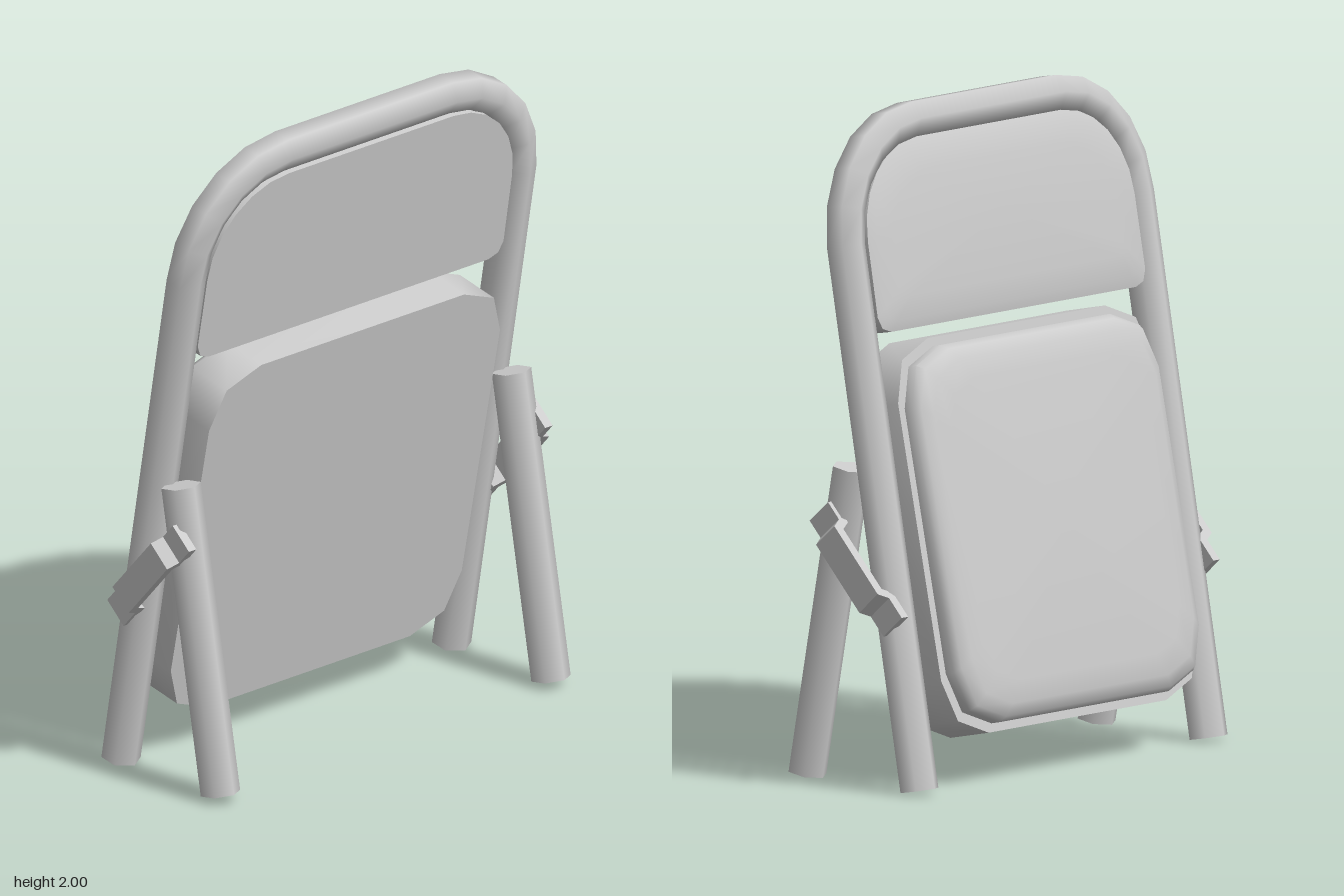
import * as THREE from 'three';
import { toCreasedNormals } from 'three/addons/utils/BufferGeometryUtils.js';

const grey = new THREE.MeshStandardMaterial({ color: 0xcccccc, side: THREE.DoubleSide });
grey.name = 'grey';

// Skin a list of equal-sized rings, optionally closing both ends with fans
function loft(rings, crease, capped) {
  const n = rings[0].length, pos = [], idx = [];
  rings.forEach(r => r.forEach(p => pos.push(...p)));
  for (let i = 0; i < rings.length - 1; i++) for (let j = 0; j < n; j++) {
    const a = i * n + j, b = i * n + (j + 1) % n;
    idx.push(a, a + n, b, b, a + n, b + n);
  }
  if (capped) [0, rings.length - 1].forEach((r, end) => {
    const c = pos.length / 3;
    pos.push(...[0, 1, 2].map(k => rings[r].reduce((s, p) => s + p[k], 0) / n));
    for (let j = 0; j < n; j++) {
      const a = r * n + j, b = r * n + (j + 1) % n;
      if (end) idx.push(c, b, a); else idx.push(c, a, b);
    }
  });
  const g = new THREE.BufferGeometry();
  g.setAttribute('position', new THREE.Float32BufferAttribute(pos, 3));
  g.setIndex(idx);
  return toCreasedNormals(g, crease);
}

// Pad from an outline and [inset, z] layers, listed front to back
function pad(outline, cy, hw, hh, layers) {
  return loft(layers.map(([inset, z]) => outline.map(([x, y]) =>
    [x * (1 - inset / hw), cy + (y - cy) * (1 - inset / hh), z])), 0.9, true);
}

// Complete a right-hand outline (bottom to top) with its mirror image
const mirrored = half => [...half, ...half.slice().reverse().map(([x, y]) => [-x, y])];

// Points on a quarter circle, from the right to the top
function quarter(cx, cy, r, steps) {
  return Array.from({ length: steps + 1 }, (_, i) => {
    const a = Math.PI / 2 * i / steps;
    return [cx + r * Math.cos(a), cy + r * Math.sin(a)];
  });
}

function add(parent, name, geometry) {
  const m = new THREE.Mesh(geometry, grey);
  m.name = name;
  parent.add(m);
  return m;
}

export function createModel() {
  const model = new THREE.Group();
  model.name = 'foldedChair';
  const R = 0.06, legX = 0.668;

  // Leaning back frame: one bent six-sided tube, open at the feet, its top eased backwards
  const back = new THREE.Group();
  back.name = 'backFrame';
  back.position.set(0, 0.0104, -0.195);
  back.rotation.x = THREE.MathUtils.degToRad(10);
  model.add(back);
  const half = [[legX, 0, 1, 0],
    ...quarter(0, 0, 1, 5).map(([c, s]) => [0.333 + 0.335 * c, 1.625 + 0.335 * s, c, s])];
  const path = [...half, ...half.slice().reverse().map(([x, y, nx, ny]) => [-x, y, -nx, ny])];
  const rings = path.map(([x, y, nx, ny]) => Array.from({ length: 6 }, (_, j) => {
    const t = Math.PI / 6 + j * Math.PI / 3, o = R * Math.cos(t);
    return [x + nx * o, y + ny * o, R * Math.sin(t) - 0.013 * ny];
  }));
  add(back, 'frameTube', loft(rings, 1.1, false));

  // Backrest filling the top of the frame, padded on its rear
  const restOutline = mirrored([[0.565, 1.352], [0.602, 1.365], [0.618, 1.4],
    ...quarter(0.333, 1.625, 0.283, 6)]);
  add(back, 'backrest', pad(restOutline, 1.63, 0.618, 0.28,
    [[0, 0.036], [0, -0.042], [0.03, -0.052], [0.1, -0.06]]));

  // Folded seat: chamfered tray with a rounded cushion on its rear
  const seat = new THREE.Group();
  seat.name = 'seat';
  seat.position.set(0, 0.127, -0.1);
  seat.rotation.x = THREE.MathUtils.degToRad(11.5);
  model.add(seat);
  const H = 1.18;
  const corner = [[0.41, 0], [0.54, 0.05], [0.588, 0.175]];
  const outline = mirrored([...corner, ...corner.slice().reverse().map(([x, y]) => [x, H - y])]);
  add(seat, 'seatTray', pad(outline, H / 2, 0.588, H / 2, [[0, 0], [0, -0.15]]));
  add(seat, 'seatCushion', pad(outline, H / 2, 0.588, H / 2,
    [[0.026, -0.145], [0.026, -0.18], [0.04, -0.202], [0.075, -0.217], [0.14, -0.224]]));

  for (const side of [1, -1]) {
    const label = side > 0 ? 'left' : 'right';

    // Straight front leg: tube open at the foot and capped on top
    const leg = add(model, label + 'FrontLeg', new THREE.CylinderGeometry(R, R, 0.945, 6, 1, true));
    leg.position.set(side * legX, 0.486, 0.15);
    leg.rotation.x = -THREE.MathUtils.degToRad(10.4);
    const cap = add(leg, label + 'LegCap', new THREE.CircleGeometry(R, 6, Math.PI / 2));
    cap.rotation.x = -Math.PI / 2;
    cap.position.y = 0.4725;

    // Stepped hinge strap joining the front leg to the frame
    const inner = [[0.705, -0.213], [0.705, -0.125], [0.742, -0.105], [0.742, 0.115], [0.705, 0.135], [0.705, 0.213]];
    const outer = [[0.735, 0.213], [0.735, 0.15], [0.772, 0.13], [0.772, -0.12], [0.735, -0.14], [0.735, -0.213]];
    const shape = new THREE.Shape([...inner, ...outer].map(([x, s]) => new THREE.Vector2(side * x, s)));
    const g = new THREE.ExtrudeGeometry(shape, { depth: 0.094, bevelEnabled: false });
    g.translate(0, 0, -0.047);
    const strap = add(model, label + 'HingeStrap', g);
    strap.position.set(0, 0.66, -0.006);
    strap.rotation.x = 0.727;
  }
  return model;
}
